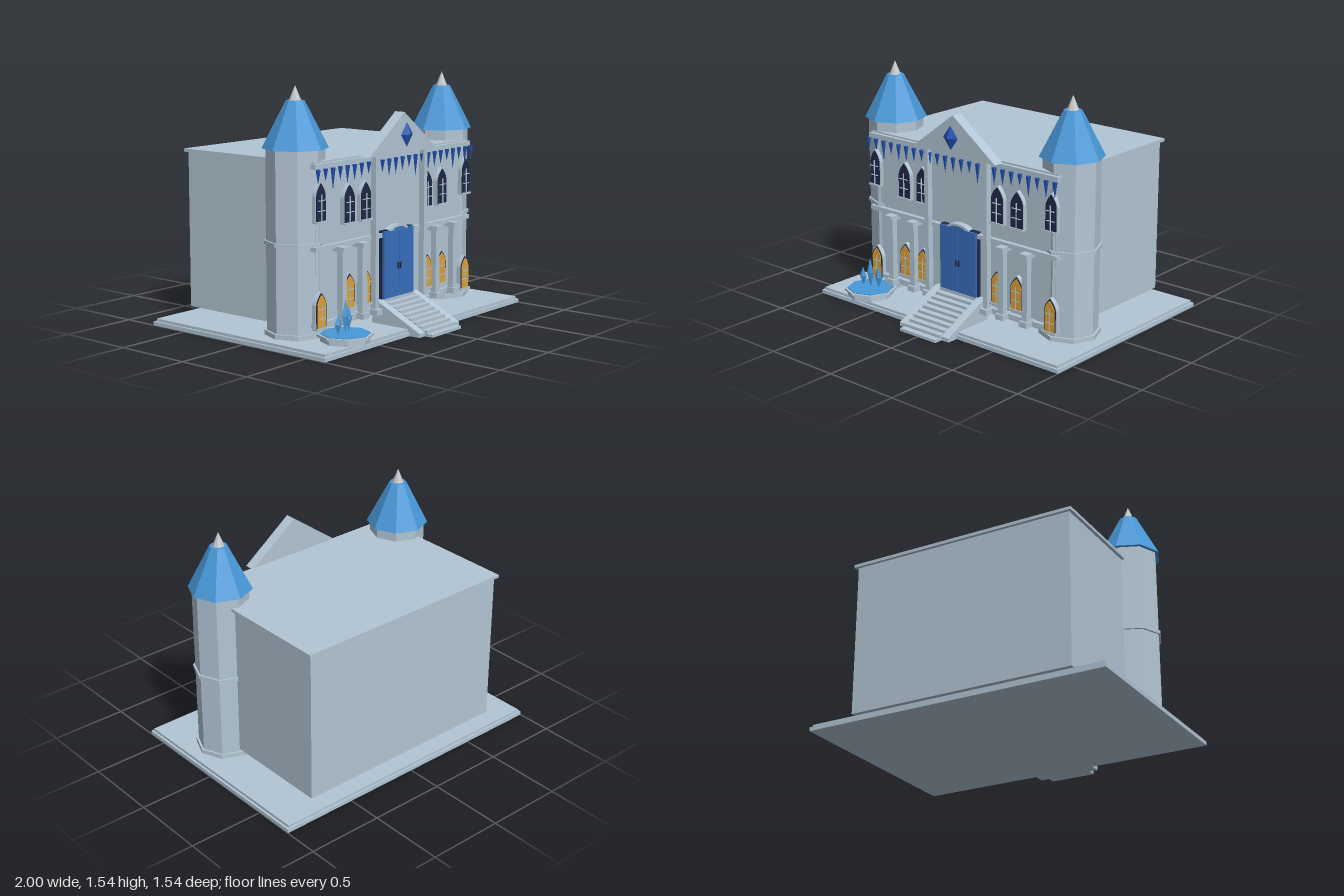
import * as THREE from 'three';

const mat = (name, color) => Object.assign(new THREE.MeshStandardMaterial({ color, flatShading: true }), { name });

export function createModel() {
  const model = new THREE.Group();
  model.name = 'iceCastle';
  const stone = mat('pale stone', 0xb2c6d5);
  const roofBlue = mat('roof blue', 0x4898d8);
  const doorBlue = mat('door blue', 0x386fbd);
  const iceBlue = mat('deep ice blue', 0x2352b0);
  const navy = mat('navy', 0x1f2947);
  const amber = mat('amber', 0xe0a235);
  const silver = mat('silver', 0xc4c8cc);

  const add = (name, geo, material, x = 0, y = 0, z = 0, parent = model) => {
    const m = new THREE.Mesh(geo, material);
    m.name = name;
    m.position.set(x, y, z);
    parent.add(m);
    return m;
  };
  // Box given by its limits
  const box = (name, material, x0, x1, y0, y1, z0, z1, parent = model) =>
    add(name, new THREE.BoxGeometry(x1 - x0, y1 - y0, z1 - z0), material,
      (x0 + x1) / 2, (y0 + y1) / 2, (z0 + z1) / 2, parent);
  // Upright prism or frustum between two heights
  const prism = (name, material, rTop, rBottom, y0, y1, parent, x = 0, z = 0, sides = 8) =>
    add(name, new THREE.CylinderGeometry(rTop, rBottom, y1 - y0, sides), material, x, (y0 + y1) / 2, z, parent);
  const extrude = (shape, depth) => new THREE.ExtrudeGeometry(shape, { depth, bevelEnabled: false });
  const polygon = (points) => new THREE.Shape(points.map(([x, y]) => new THREE.Vector2(x, y)));

  // Ground slabs
  box('lowerSlab', stone, -1, 1, 0, 0.025, -0.77, 0.64);
  box('upperSlab', stone, -0.985, 0.985, 0.025, 0.042, -0.757, 0.627);

  // Main hall
  box('hall', stone, -0.75, 0.75, 0.09, 1.08, -0.69, 0.355);
  box('hallRoof', stone, -0.77, 0.77, 1.08, 1.1, -0.71, 0.36);

  // Facade bands
  box('topCornice', stone, -0.78, 0.78, 1.06, 1.09, 0.345, 0.385);
  box('middleBand', stone, -0.78, 0.78, 0.572, 0.6, 0.345, 0.385);
  for (const s of [-1, 1]) {
    const [a, b] = s < 0 ? [-0.78, -0.2] : [0.2, 0.78];
    box('plinthBand', stone, a, b, 0.115, 0.142, 0.345, 0.385);
  }

  // Pediment and crystal
  add('pediment', extrude(polygon([[-0.34, 1.09], [0.34, 1.09], [0, 1.342]]), 0.072), stone, 0, 0, 0.363);
  add('pedimentCrystal', new THREE.OctahedronGeometry(1), iceBlue, 0, 1.205, 0.455).scale.set(0.06, 0.077, 0.03);

  // Columns and tall pilasters
  for (const s of [-1, 1]) {
    for (const x of [0.565, 0.375]) {
      const column = new THREE.Group();
      column.name = 'column';
      column.position.x = s * x;
      model.add(column);
      box('columnShaft', stone, -0.021, 0.021, 0.14, 0.56, 0.385, 0.425, column);
      box('columnBase', stone, -0.03, 0.03, 0.108, 0.145, 0.355, 0.44, column);
      box('columnCapital', stone, -0.03, 0.03, 0.55, 0.58, 0.355, 0.44, column);
    }
    box('pilaster', stone, s * 0.245 - 0.016, s * 0.245 + 0.016, 0.1, 1.09, 0.38, 0.42);
    box('pilasterBase', stone, s * 0.245 - 0.028, s * 0.245 + 0.028, 0.108, 0.145, 0.355, 0.44);
  }

  // Pointed windows
  const arch = (w, h, inset) => {
    const a = w / 2 - inset, top = h - inset * 1.5, spring = h * 0.66;
    const s = new THREE.Shape();
    s.moveTo(-a, inset);
    s.lineTo(a, inset);
    s.lineTo(a, spring);
    s.quadraticCurveTo(a * 0.85, spring + (top - spring) * 0.5, 0, top);
    s.quadraticCurveTo(-a * 0.85, spring + (top - spring) * 0.5, -a, spring);
    return s;
  };
  const addWindow = (x, y, w, h, glass) => {
    const g = new THREE.Group();
    g.name = 'window';
    g.position.set(x, y, 0.355);
    model.add(g);
    add('windowFrame', extrude(arch(w, h, 0), 0.028), stone, 0, 0, 0, g);
    add('windowReveal', extrude(arch(w, h, 0.005), 0.004), navy, 0, 0, 0.028, g);
    if (glass !== navy) add('windowGlass', extrude(arch(w, h, 0.012), 0.004), glass, 0, 0, 0.032, g);
    box('windowSill', stone, -w / 2, w / 2, 0, 0.012, 0, 0.042, g);
    box('mullion', stone, -0.002, 0.002, 0.012, h * 0.7, 0.032, 0.04, g);
    for (const f of [0.3, 0.55]) box('glazingBar', stone, -w * 0.34, w * 0.34, h * f - 0.002, h * f + 0.002, 0.032, 0.04, g);
  };
  for (const s of [-1, 1]) {
    for (const x of [0.313, 0.47]) {
      addWindow(s * x, 0.7, 0.104, 0.245, navy);
      addWindow(s * x, 0.175, 0.104, 0.23, amber);
    }
    addWindow(s * 0.733, 0.74, 0.092, 0.245, navy);
    addWindow(s * 0.733, 0.1, 0.098, 0.23, amber);
  }

  // Double door with low arch
  box('doorRecess', navy, -0.152, 0.152, 0.18, 0.612, 0.355, 0.385);
  for (const s of [-1, 1]) {
    box('doorLeaf', doorBlue, s * 0.0755 - 0.0735, s * 0.0755 + 0.0735, 0.18, 0.608, 0.37, 0.4);
    box('doorHandle', navy, s * 0.012 - 0.004, s * 0.012 + 0.004, 0.36, 0.4, 0.4, 0.408);
  }
  const archCurve = (r, h) => {
    const s = new THREE.Shape();
    s.absellipse(0, 0, r, h, 0, Math.PI, false);
    return s;
  };
  add('doorArch', extrude(archCurve(0.09, 0.032), 0.045), stone, 0, 0.606, 0.355);
  add('doorArchPanel', extrude(archCurve(0.06, 0.016), 0.004), doorBlue, 0, 0.608, 0.4);

  // Entrance stairs with sloped cheeks
  const steps = 10, run = 0.041;
  for (let i = 0; i < steps; i++) {
    box('step', stone, -0.15, 0.15, i * 0.0185, (i + 1) * 0.0185, 0.35, 0.772 - i * run);
  }
  for (const s of [-1, 1]) {
    const cheek = add('stairCheek', extrude(polygon([[-0.715, 0], [-0.715, 0.026], [-0.39, 0.183], [-0.35, 0.183], [-0.35, 0]].reverse()), 0.056),
      stone, s * 0.178 - 0.028, 0, 0);
    cheek.rotation.y = Math.PI / 2;
  }

  // Corner towers
  for (const s of [-1, 1]) {
    const tower = new THREE.Group();
    tower.name = 'tower';
    tower.position.set(s * 0.73, 0, 0.185);
    model.add(tower);
    prism('towerShaft', stone, 0.177, 0.177, 0.042, 1.17, tower);
    prism('towerFoot', stone, 0.192, 0.192, 0.047, 0.075, tower);
    prism('towerBand', stone, 0.19, 0.19, 0.597, 0.62, tower);
    prism('towerRoof', roofBlue, 0.056, 0.2, 1.168, 1.45, tower);
    prism('towerSpire', silver, 0, 0.037, 1.45, 1.54, tower);
  }

  // Icicles hanging from the cornice
  const lengths = [0.09, 0.075, 0.135, 0.08, 0.11, 0.1];
  for (let i = 0; i < 24; i++) {
    const len = lengths[i % lengths.length];
    const cone = add('icicle', new THREE.ConeGeometry(0.016, len, 5), iceBlue, -0.771 + i * 0.067, 1.06 - len / 2, 0.396);
    cone.rotation.x = Math.PI;
  }

  // Fountain with frozen crystals
  const fountain = new THREE.Group();
  fountain.name = 'fountain';
  fountain.position.set(-0.667, 0, 0.515);
  model.add(fountain);
  prism('fountainBase', stone, 0.15, 0.15, 0.035, 0.075, fountain);
  prism('fountainRim', stone, 0.17, 0.17, 0.072, 0.087, fountain);
  prism('fountainWater', roofBlue, 0.152, 0.152, 0.085, 0.091, fountain);
  for (const [x, z, top] of [[-0.068, 0, 0.215], [0, 0, 0.295], [0.054, -0.02, 0.24]]) {
    const h = (top - 0.088) / 2;
    add('fountainCrystal', new THREE.OctahedronGeometry(1), roofBlue, x, 0.088 + h, z, fountain).scale.set(0.032, h, 0.019);
  }
  return model;
}
